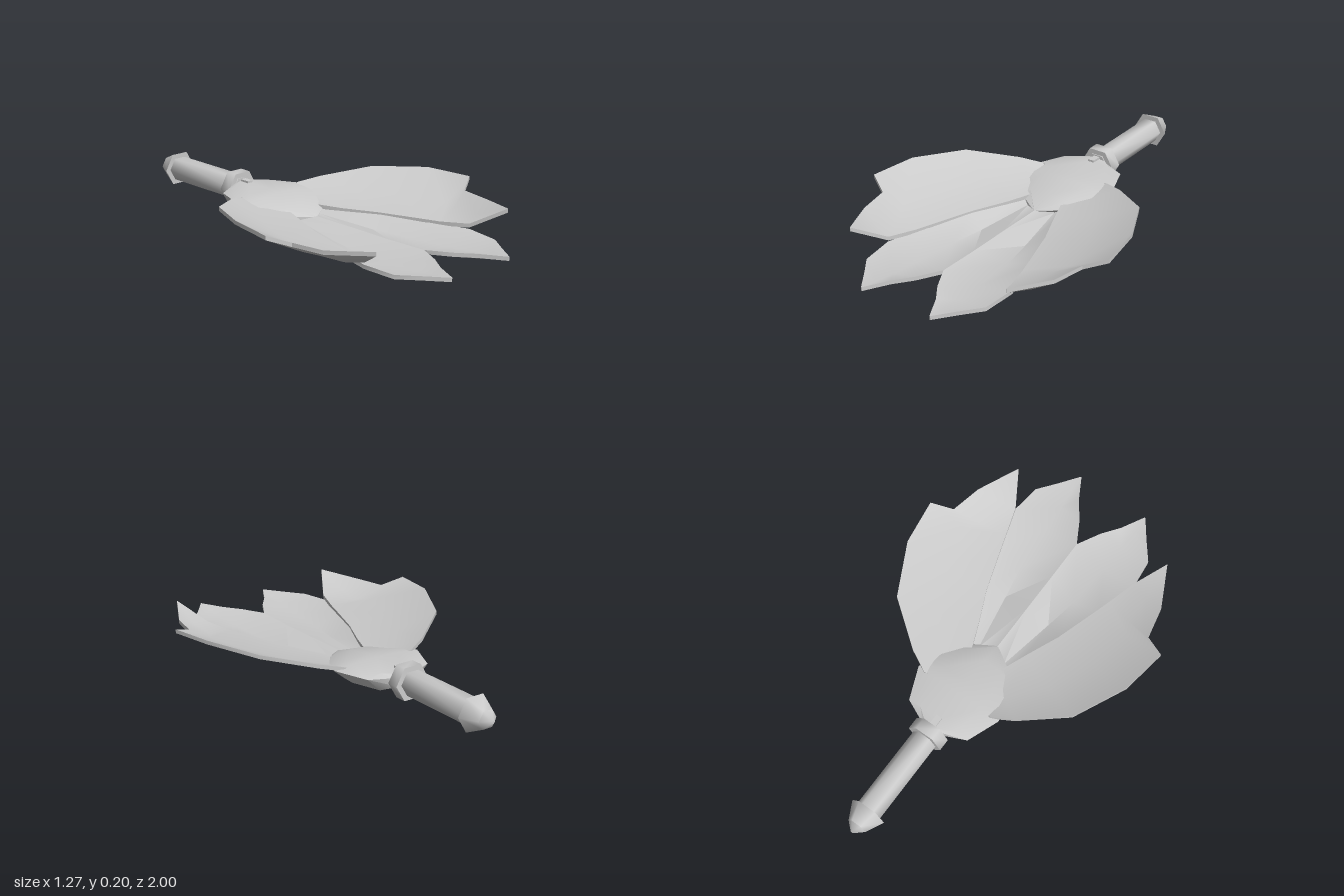
import * as THREE from 'three';
import { toCreasedNormals } from 'three/addons/utils/BufferGeometryUtils.js';

const material = new THREE.MeshStandardMaterial({ color: 0xcccccc });

function addMesh(parent, name, geometry, crease = 0.7) {
  const mesh = new THREE.Mesh(toCreasedNormals(geometry, crease), material);
  mesh.name = name;
  parent.add(mesh);
  return mesh;
}

// Skins a series of closed rings (top edge towards +x, underside back) along +z and caps both ends
function loft(rings, flip = false) {
  const n = rings[0].length, index = [];
  const tri = (a, b, c) => (flip ? index.push(a, c, b) : index.push(a, b, c));
  for (let r = 0; r < rings.length - 1; r++) {
    for (let c = 0; c < n; c++) {
      const d = (c + 1) % n, a = r * n, b = a + n;
      tri(a + c, b + c, a + d);
      tri(a + d, b + c, b + d);
    }
  }
  const last = (rings.length - 1) * n;
  for (let i = 1; i < n - 1; i++) {
    tri(0, i, i + 1);
    tri(last, last + i + 1, last + i);
  }
  const geometry = new THREE.BufferGeometry();
  geometry.setAttribute('position', new THREE.Float32BufferAttribute(rings.flat(2), 3));
  geometry.setIndex(index);
  return geometry;
}

// Thin leaf from rows of surface points; side -1 mirrors it
function leaf(rows, side, thickness) {
  const rings = rows.map(row => {
    const top = row.map(([x, y, z]) => [side * x, y, z]);
    const under = top.map(([x, y, z]) => [x, y - thickness, z]).reverse();
    return [...top, ...under];
  });
  return loft(rings, side < 0);
}

// Hexagonal prism or cone along z, flat side up
function hexBar(rBack, rFront, zBack, zFront) {
  return new THREE.CylinderGeometry(rFront, rBack, zFront - zBack, 6)
    .rotateY(Math.PI / 6).rotateX(Math.PI / 2).translate(0, 0, (zBack + zFront) / 2);
}

export function createModel() {
  const model = new THREE.Group();
  model.name = 'leafFan';

  // Middle leaves: inner edge, sunken valley, outer edge
  const middleRows = [
    [[0, 0.07, -0.2], [0.04, 0.055, -0.2], [0.07, 0.07, -0.2]],
    [[0, 0.06, 0], [0.07, 0.045, 0.02], [0.13, 0.07, 0.05]],
    [[0, 0.055, 0.3], [0.12, 0.022, 0.3], [0.21, 0.07, 0.26]],
    [[0, 0.05, 0.5], [0.15, 0.018, 0.46], [0.28, 0.065, 0.47]],
    [[0, 0.05, 0.7], [0.165, 0.022, 0.68], [0.335, 0.06, 0.67]],
    [[0.06, 0.05, 0.81], [0.172, 0.03, 0.82], [0.32, 0.05, 0.82]],
    [[0.12, 0.05, 0.89], [0.178, 0.038, 0.92], [0.25, 0.05, 0.91]],
    [[0.18, 0.05, 1], [0.182, 0.05, 1], [0.184, 0.05, 1]],
  ];

  // Side leaves: inner and outer edges, with a sagging centre between them
  const sideEdges = [
    [[0.05, 0.085, -0.2], [0.18, 0.12, -0.24]],
    [[0.07, 0.08, -0.05], [0.28, 0.14, -0.19]],
    [[0.13, 0.075, 0.1], [0.48, 0.18, -0.04]],
    [[0.2, 0.075, 0.26], [0.6, 0.198, 0.2]],
    [[0.265, 0.075, 0.46], [0.635, 0.19, 0.42]],
    [[0.29, 0.075, 0.54], [0.54, 0.152, 0.47]],
    [[0.33, 0.085, 0.67], [0.51, 0.148, 0.62]],
    [[0.414, 0.165, 0.81], [0.416, 0.165, 0.81]],
  ];
  const sideRows = sideEdges.map(([a, b]) => {
    const sag = 0.08 * (b[0] - a[0]);
    const centre = a.map((v, i) => (v + b[i]) / 2 - (i === 1 ? sag : 0));
    return [a, centre, b];
  });

  for (const [side, word] of [[1, 'left'], [-1, 'right']]) {
    addMesh(model, word + 'MiddleLeaf', leaf(middleRows, side, 0.018));
    addMesh(model, word + 'SideLeaf', leaf(sideRows, side, 0.018));
  }

  // Socket holding the leaves: z, half width, edge, top and bottom heights
  const socket = [
    [-0.43, 0.05, 0.105, 0.128, 0.06],
    [-0.38, 0.16, 0.105, 0.126, 0.042],
    [-0.23, 0.22, 0.108, 0.124, 0.034],
    [-0.17, 0.21, 0.1, 0.12, 0.03],
    [-0.03, 0.16, 0.068, 0.094, 0.026],
    [0.07, 0.004, 0.055, 0.058, 0.025],
  ].map(([z, w, edge, top, bottom]) => {
    const shoulder = edge + (top - edge) * 0.75;
    return [
      [-w, edge, z], [-0.6 * w, shoulder, z], [0, top, z], [0.6 * w, shoulder, z], [w, edge, z],
      [0.6 * w, bottom, z], [0, bottom + 0.012, z], [-0.6 * w, bottom, z],
    ];
  });
  addMesh(model, 'socket', loft(socket));

  // Small peg between socket and collar
  addMesh(model, 'peg', new THREE.BoxGeometry(0.03, 0.06, 0.08).translate(0, 0.105, -0.41));

  // Handle with collar and pointed pommel, rising slightly to the back
  const handle = new THREE.Group();
  handle.name = 'handle';
  handle.position.y = 0.08;
  handle.rotation.x = 0.02;
  addMesh(handle, 'grip', hexBar(0.06, 0.06, -0.9, -0.42), 1.1);
  addMesh(handle, 'collar', hexBar(0.086, 0.086, -0.482, -0.425), 1.1);
  addMesh(handle, 'pommelBase', hexBar(0.045, 0.086, -0.965, -0.885), 1.1);
  addMesh(handle, 'pommelTip', hexBar(0.006, 0.045, -1, -0.965), 1.1);
  model.add(handle);

  return model;
}
